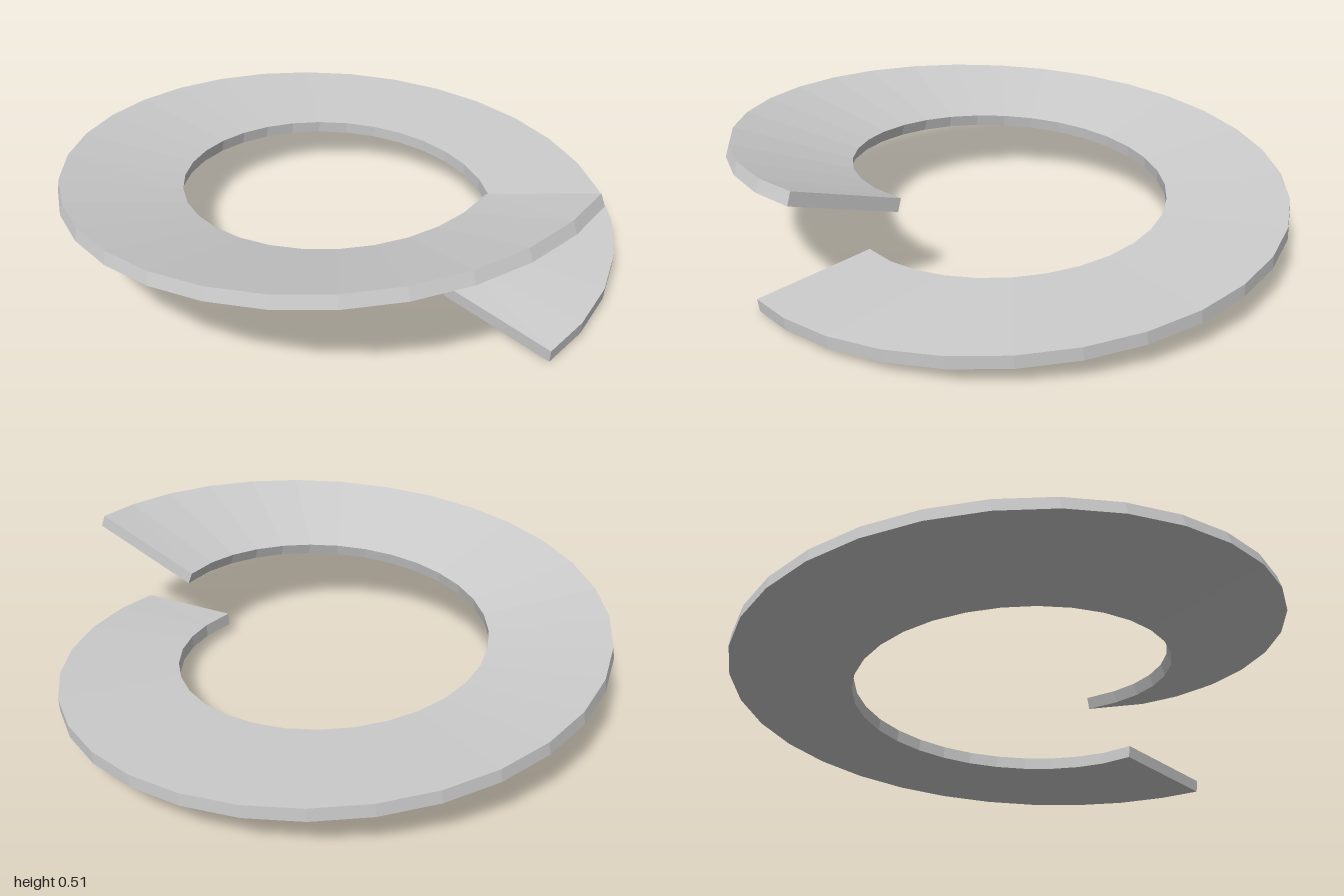
import * as THREE from 'three';

const STEPS = 33;
const RADIUS = 0.785;      // centre line of the ramp
const HALF_WIDTH = 0.216;
const HALF_THICK = 0.0228;
const START = -0.09, SWEEP = 6.57;
const { lerp } = THREE.MathUtils;

// One turn of a rectangular strip that climbs while its banking rolls inward
function spiralGeometry() {
  const step = SWEEP / STEPS;
  const slope = 0.07;
  const corners = [[-1, -1], [1, -1], [1, 1], [-1, 1]];
  const positions = [], index = [];

  for (let k = 0; k <= STEPS; k++) {
    const t = k / STEPS;
    const a = START + SWEEP * t;
    const bank = lerp(-0.094, 0.363, t);
    const midY = lerp(0.0432, 0.4075, t);
    // the end sections are square to the first and last straight pieces
    const dir = a + (k === 0 ? step / 2 : k === STEPS ? -step / 2 : 0);
    for (const [su, sv] of corners) {
      const u = su * HALF_WIDTH, v = sv * HALF_THICK;
      const out = u * Math.cos(bank) - v * Math.sin(bank);
      const up = u * Math.sin(bank) + v * Math.cos(bank);
      const back = v * slope;
      positions.push(
        RADIUS * Math.cos(a) + out * Math.cos(dir) + back * Math.sin(dir),
        midY + up,
        -RADIUS * Math.sin(a) - out * Math.sin(dir) + back * Math.cos(dir));
    }
  }

  // four long sides
  for (let k = 0; k < STEPS; k++) {
    for (let j = 0; j < 4; j++) {
      const p0 = k * 4 + j, p1 = k * 4 + (j + 1) % 4;
      index.push(p0, p0 + 4, p1 + 4, p0, p1 + 4, p1);
    }
  }
  // end caps
  const e = STEPS * 4;
  index.push(0, 1, 2, 0, 2, 3, e, e + 2, e + 1, e, e + 3, e + 2);

  const geometry = new THREE.BufferGeometry();
  geometry.setAttribute('position', new THREE.Float32BufferAttribute(positions, 3));
  geometry.setIndex(index);
  const flat = geometry.toNonIndexed();
  flat.computeVertexNormals();
  return flat;
}

export function createModel() {
  const group = new THREE.Group();
  group.name = 'spiralRamp';
  const material = new THREE.MeshStandardMaterial({ color: 0xcccccc, flatShading: true });
  const ramp = new THREE.Mesh(spiralGeometry(), material);
  ramp.name = 'twistedStrip';
  group.add(ramp);
  return group;
}
